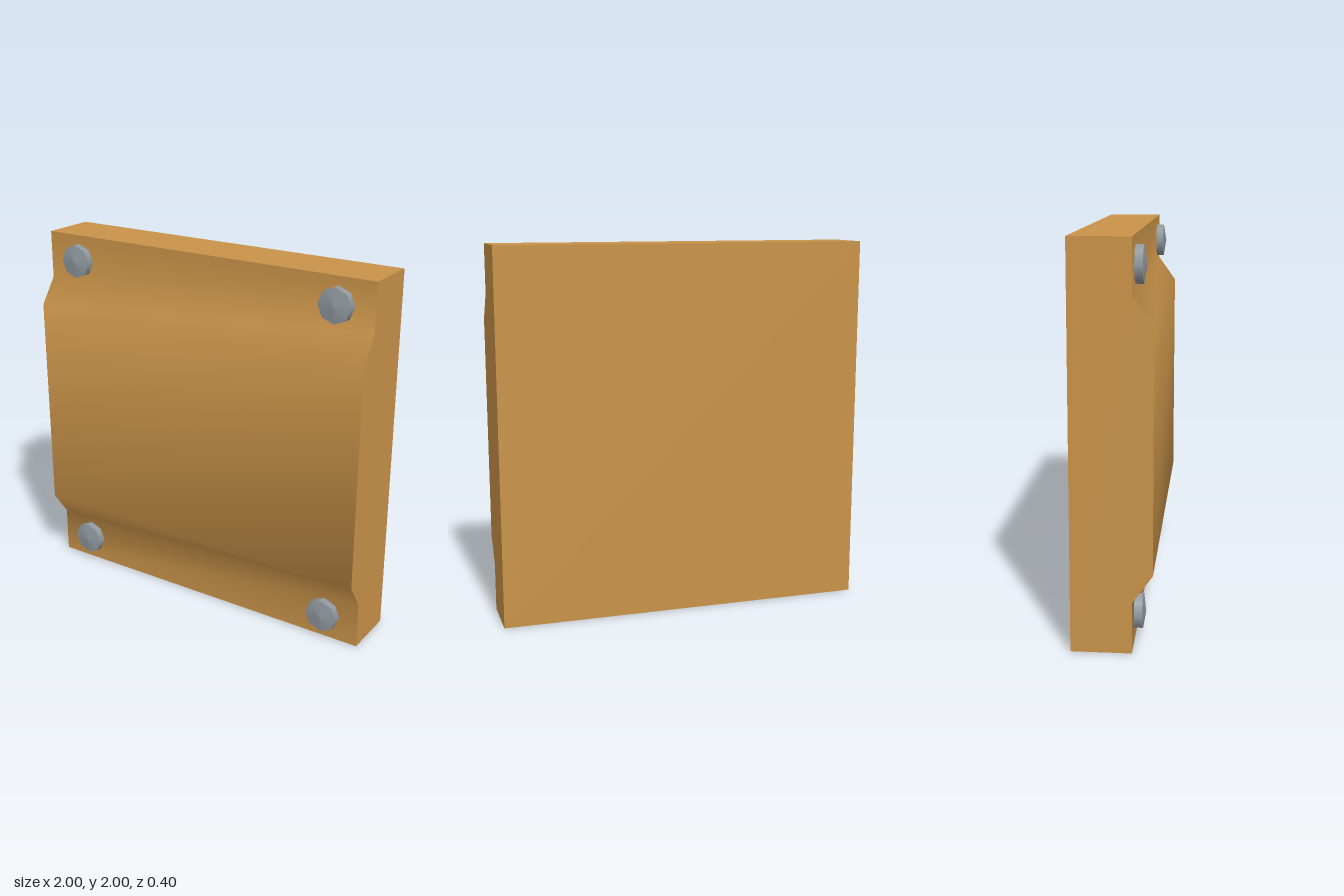
import * as THREE from 'three';
import { toCreasedNormals } from 'three/addons/utils/BufferGeometryUtils.js';

export function createModel() {
  const group = new THREE.Group();
  const wood = new THREE.MeshStandardMaterial({ color: 0xc99349 });
  wood.name = 'tan panel';
  const steel = new THREE.MeshStandardMaterial({ color: 0x929ba2 });
  steel.name = 'grey steel';

  // Panel: side profile as (z, y), extruded across the width
  const profile = [
    [-0.2, 0], [0.1, 0], [0.1, 0.26], [0.2, 0.4],
    [0.2, 1.6], [0.1, 1.74], [0.1, 2], [-0.2, 2],
  ];
  const shape = new THREE.Shape(profile.map(([z, y]) => new THREE.Vector2(z, y)));
  const panelGeo = new THREE.ExtrudeGeometry(shape, { depth: 2, bevelEnabled: false });
  panelGeo.rotateY(-Math.PI / 2).translate(1, 0, 0);
  // The raised front blends softly; the outer edges stay sharp
  const panel = new THREE.Mesh(toCreasedNormals(panelGeo, Math.PI / 4), wood);
  panel.name = 'panel';
  group.add(panel);

  // Bolts: eight-sided heads with a shallow pointed cap
  const radius = 0.092;
  const shankGeo = new THREE.CylinderGeometry(radius, radius, 0.04, 8, 1, true);
  shankGeo.rotateX(Math.PI / 2).translate(0, 0, 0.02);
  const capGeo = new THREE.ConeGeometry(radius, 0.015, 8, 1, true);
  capGeo.rotateX(Math.PI / 2).translate(0, 0, 0.0475);
  for (const x of [-0.8, 0.8]) {
    for (const y of [0.14, 1.86]) {
      const bolt = new THREE.Group();
      bolt.name = (y > 1 ? 'upper' : 'lower') + (x > 0 ? 'Left' : 'Right') + 'Bolt';
      const side = new THREE.Mesh(shankGeo, steel);
      side.name = 'boltSide';
      const cap = new THREE.Mesh(capGeo, steel);
      cap.name = 'boltCap';
      bolt.add(side, cap);
      bolt.position.set(x, y, 0.1);
      group.add(bolt);
    }
  }
  return group;
}
